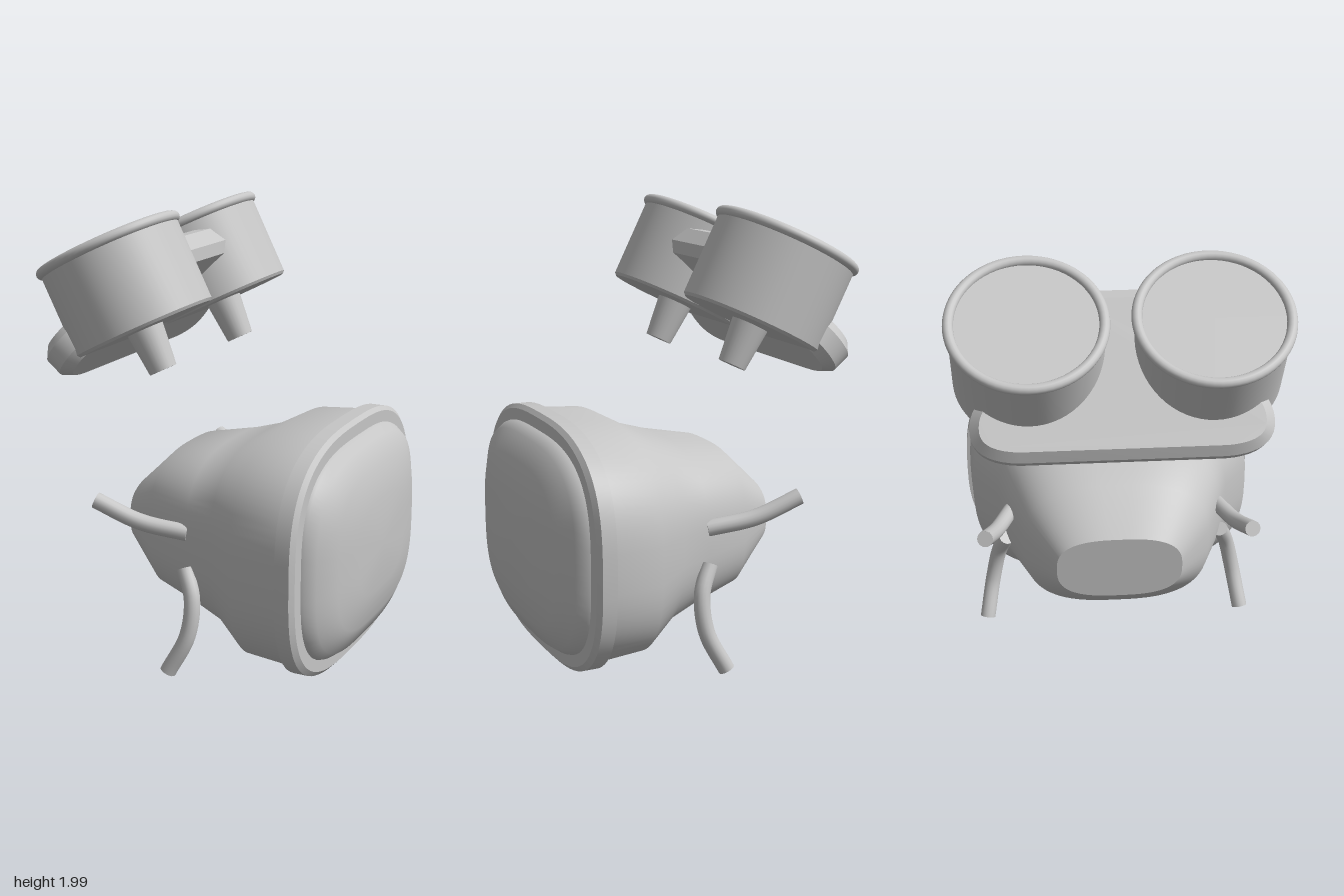
import * as THREE from 'three';
import { mergeVertices, toCreasedNormals } from 'three/addons/utils/BufferGeometryUtils.js';

const grey = new THREE.MeshStandardMaterial({ color: 0xc6c6c6 });
grey.name = 'light grey';

function mesh(name, geometry, parent) {
  const m = new THREE.Mesh(geometry, grey);
  m.name = name;
  parent.add(m);
  return m;
}

// Rounded-rectangular loft along x; each section is [x, centreY, halfHeight, halfDepth]
function loft(sections, power, crease) {
  const n = 80, pos = [], idx = [];
  const bend = (v) => Math.sign(v) * Math.abs(v) ** (2 / power);
  for (const [x, cy, ry, rz] of sections) {
    for (let j = 0; j < n; j++) {
      const t = (j / n) * Math.PI * 2;
      pos.push(x, cy + ry * bend(Math.sin(t)), rz * bend(Math.cos(t)));
    }
  }
  for (let i = 0; i < sections.length - 1; i++) {
    for (let j = 0; j < n; j++) {
      const k = (j + 1) % n;
      const a = i * n + j, b = a + n, c = i * n + k, d = c + n;
      idx.push(a, b, c, b, d, c);
    }
  }
  const g = new THREE.BufferGeometry();
  g.setAttribute('position', new THREE.Float32BufferAttribute(pos, 3));
  g.setIndex(idx);
  return toCreasedNormals(mergeVertices(g), crease);
}

// Curved round rod with closed ends
function rod(name, points, radius, parent) {
  const group = new THREE.Group();
  group.name = name;
  parent.add(group);
  const curve = new THREE.CatmullRomCurve3(points.map((p) => new THREE.Vector3(...p)));
  mesh(name + 'Tube', new THREE.TubeGeometry(curve, 20, radius, 16), group);
  for (const t of [0, 1]) {
    const cap = mesh(name + 'Cap', new THREE.CircleGeometry(radius, 16), group);
    const out = curve.getTangentAt(t).multiplyScalar(t ? 1 : -1);
    cap.position.copy(curve.getPointAt(t));
    cap.quaternion.setFromUnitVectors(new THREE.Vector3(0, 0, 1), out);
  }
}

// Tilted cup with a rolled rim, a flat top and a tapered peg underneath
function cup(z, parent) {
  const group = new THREE.Group();
  group.name = 'cup';
  group.position.set(-0.426, 1.83, z);
  group.rotation.z = 0.467;
  parent.add(group);
  const profile = [[0, -0.39], [0.305, -0.39], [0.316, -0.378], [0.316, 0], [0, 0]];
  const wall = new THREE.LatheGeometry(profile.map((p) => new THREE.Vector2(...p)), 64);
  mesh('cupWall', toCreasedNormals(wall, 0.5), group);
  const rim = mesh('cupRim', new THREE.TorusGeometry(0.311, 0.022, 14, 64), group);
  rim.rotation.x = Math.PI / 2;
  const peg = mesh('cupPeg', new THREE.CylinderGeometry(0.083, 0.062, 0.2, 28), group);
  peg.position.y = -0.48;
}

// Sloping bridge plate, broad at its lower end and narrow at the top
function bridgeGeometry() {
  const s = new THREE.Shape();
  s.moveTo(-0.42, 0);
  s.lineTo(0.42, 0);
  s.quadraticCurveTo(0.62, 0.01, 0.62, 0.14);
  s.quadraticCurveTo(0.62, 0.24, 0.52, 0.31);
  s.lineTo(0.22, 0.64);
  s.lineTo(0.22, 0.7);
  s.lineTo(-0.22, 0.7);
  s.lineTo(-0.22, 0.64);
  s.lineTo(-0.52, 0.31);
  s.quadraticCurveTo(-0.62, 0.24, -0.62, 0.14);
  s.quadraticCurveTo(-0.62, 0.01, -0.42, 0);
  const g = new THREE.ExtrudeGeometry(s, {
    depth: 0.08, bevelThickness: 0.04, bevelSize: 0.04, bevelOffset: -0.04,
    bevelSegments: 1, curveSegments: 10,
  });
  g.translate(0, 0, -0.04);
  const a = (50 * Math.PI) / 180;
  const along = new THREE.Vector3(Math.cos(a), Math.sin(a), 0);
  const across = new THREE.Vector3(0, 0, 1);
  const normal = new THREE.Vector3().crossVectors(across, along);
  g.applyMatrix4(new THREE.Matrix4().makeBasis(across, along, normal));
  g.translate(-0.62, 1.29, 0);
  return toCreasedNormals(g, 0.5);
}

export function createModel() {
  const model = new THREE.Group();
  model.name = 'model';

  // Main body, opening out from a small flat back to a wide front
  const body = new THREE.Group();
  body.name = 'body';
  model.add(body);
  mesh('shell', loft([
    [-0.4, 0.575, 0, 0], [-0.4, 0.575, 0.155, 0.28], [-0.22, 0.575, 0.325, 0.42],
    [0, 0.565, 0.375, 0.5], [0.14, 0.558, 0.422, 0.545], [0.29, 0.55, 0.51, 0.66],
    [0.52, 0.55, 0.527, 0.68],
  ], 2.8, 0.7), body);
  mesh('frontRim', loft([
    [0.51, 0.55, 0, 0], [0.51, 0.55, 0.545, 0.695], [0.575, 0.55, 0.545, 0.695],
    [0.592, 0.55, 0.527, 0.67], [0.592, 0.55, 0, 0],
  ], 2.9, 0.4), body);
  mesh('frontPanel', loft([
    [0.585, 0.55, 0.475, 0.612], [0.605, 0.55, 0.47, 0.605], [0.645, 0.55, 0.443, 0.57],
    [0.693, 0.55, 0.35, 0.45], [0.717, 0.55, 0.21, 0.27], [0.722, 0.55, 0, 0],
  ], 3.1, 0.9), body);

  // Arms, legs and cups on both sides
  for (const s of [1, -1]) {
    const side = s > 0 ? 'left' : 'right';
    rod(side + 'Arm', [[0, 0.63, 0.48 * s], [-0.2, 0.67, 0.54 * s], [-0.39, 0.755, 0.59 * s]], 0.036, model);
    rod(side + 'Leg', [[0, 0.475, 0.505 * s], [0.055, 0.36, 0.545 * s],
      [0.05, 0.2, 0.58 * s], [-0.03, 0.03, 0.613 * s]], 0.036, model);
    cup(0.375 * s, model);
  }

  mesh('bridge', bridgeGeometry(), model);
  return model;
}
